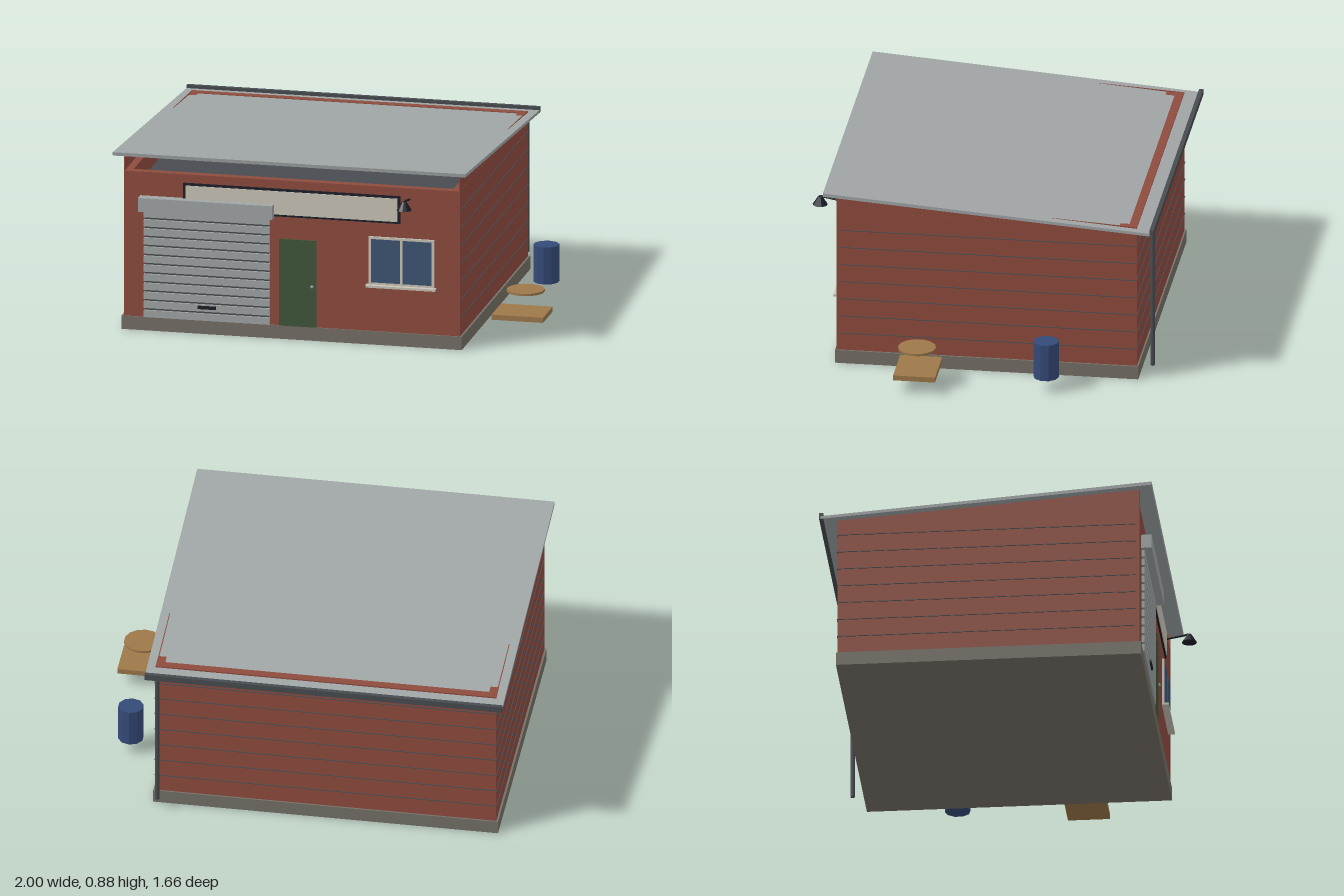
import * as THREE from 'three';

const paint = (name, color) => {
  const m = new THREE.MeshStandardMaterial({ color });
  m.name = name;
  return m;
};

export function createModel() {
  const red = paint('brick red', 0x8f4c3f);
  const grey = paint('sheet metal grey', 0xa0a5a5);
  const concrete = paint('concrete', 0x757067);
  const dark = paint('dark grey', 0x484c50);
  const green = paint('door green', 0x3f5638);
  const blue = paint('barrel blue', 0x354a78);
  const glass = paint('window glass', 0x3e5573);
  const cream = paint('cream', 0xcac5b8);
  const black = paint('black', 0x1a1e26);
  const wood = paint('wood', 0x9c784a);
  blue.flatShading = black.flatShading = true;

  const model = new THREE.Group();
  model.name = 'workshop';
  const add = (name, geometry, material, parent = model) => {
    const mesh = new THREE.Mesh(geometry, material);
    mesh.name = name;
    parent.add(mesh);
    return mesh;
  };
  const group = (name) => {
    const g = new THREE.Group();
    g.name = name;
    model.add(g);
    return g;
  };
  // Box given by its limits along each axis
  const box = (name, mat, [x0, x1], [y0, y1], [z0, z1], parent) => {
    const g = new THREE.BoxGeometry(x1 - x0, y1 - y0, z1 - z0);
    g.translate((x0 + x1) / 2, (y0 + y1) / 2, (z0 + z1) / 2);
    return add(name, g, mat, parent);
  };
  // Side profile of [z, y] points drawn out from x0 to x1
  const profile = (name, mat, points, x0, x1, parent) => {
    const shape = new THREE.Shape(points.map((p) => new THREE.Vector2(...p)));
    const g = new THREE.ExtrudeGeometry(shape, { depth: x1 - x0, bevelEnabled: false });
    g.rotateY(-Math.PI / 2).translate(x1, 0, 0);
    return add(name, g, mat, parent);
  };
  const cylinder = (name, mat, r0, r1, y0, y1, x, z, sides, parent) => {
    const g = new THREE.CylinderGeometry(r1, r0, y1 - y0, sides);
    g.translate(x, (y0 + y1) / 2, z);
    return add(name, g, mat, parent);
  };

  // Base slab and hollow walls
  box('baseSlab', concrete, [-0.97, 0.68], [0, 0.065], [-0.755, 0.692]);
  const walls = group('walls');
  const L = -0.96, R = 0.67, F = 0.685, B = -0.747, top = 0.776, t = 0.04;
  box('frontWall', red, [L, R], [0.065, top], [F - t, F], walls);
  box('backWall', red, [L, R], [0.065, top], [B, B + t], walls);
  box('leftWall', red, [R - t, R], [0.065, top], [B, F], walls);
  box('rightWall', red, [L, L + t], [0.065, top], [B, F], walls);
  for (const x of [L + 0.001, R - 0.005])
    profile('gable', red, [[B, top], [F, top], [F, 0.86]], x, x + 0.004, walls);

  // Thin course lines on the sides and back
  const courses = group('wallCourses');
  for (let y = 0.15; y < 0.76; y += 0.088)
    box('courseLine', dark, [L - 0.004, R + 0.004], [y, y + 0.003], [B - 0.004, F - 0.02], courses);

  // Sloping roof, gutter and downpipe
  profile('roof', grey, [[-0.825, 0.75], [0.743, 0.863], [0.745, 0.88], [-0.825, 0.764]], -1, 0.71);
  box('gutter', dark, [-1, 0.71], [0.75, 0.78], [-0.832, -0.812]);
  cylinder('downpipe', dark, 0.01, 0.01, 0.065, 0.76, 0.65, -0.82, 8);

  // Roller shutter
  const shutter = group('rollerShutter');
  box('shutterBacking', dark, [-0.855, -0.255], [0.065, 0.6], [F, F + 0.004], shutter);
  const pitch = 0.0445;
  for (let i = 0; i < 12; i++) {
    const y = 0.067 + i * pitch;
    box('slat', grey, [-0.86, -0.25], [y, y + 0.034], [F, F + 0.015], shutter);
  }
  box('shutterHousing', grey, [-0.88, -0.23], [0.592, 0.66], [F, 0.735], shutter);
  box('shutterHandle', black, [-0.597, -0.51], [0.125, 0.14], [F, 0.708], shutter);

  // Door
  box('door', green, [-0.205, -0.025], [0.065, 0.49], [F, 0.692]);
  const knob = add('doorKnob', new THREE.SphereGeometry(0.008, 8, 6), grey);
  knob.position.set(-0.045, 0.265, 0.696);

  // Window with two panes
  const win = group('window');
  box('windowFrame', cream, [0.228, 0.547], [0.293, 0.53], [F, 0.695], win);
  for (const x of [0.241, 0.394])
    box('pane', glass, [x, x + 0.141], [0.307, 0.519], [0.69, 0.698], win);
  box('windowSill', cream, [0.218, 0.555], [0.285, 0.296], [F, 0.717], win);

  // Blank sign board
  box('signFrame', black, [-0.67, 0.382], [0.6, 0.735], [F, 0.693]);
  box('signPanel', cream, [-0.658, 0.368], [0.61, 0.724], [0.69, 0.697]);

  // Lamp above the sign
  const lamp = group('wallLamp');
  const arm = new THREE.LineCurve3(
    new THREE.Vector3(0.425, 0.722, F), new THREE.Vector3(0.425, 0.743, 0.797));
  add('lampArm', new THREE.TubeGeometry(arm, 1, 0.005, 6), black, lamp);
  cylinder('lampShade', black, 0.036, 0.01, 0.7, 0.742, 0.425, 0.797, 10, lamp);

  // Barrel and wooden seat beside the building
  cylinder('barrel', blue, 0.061, 0.061, 0.065, 0.247, 0.853, -0.34, 10);
  box('pallet', wood, [0.75, 1], [0.065, 0.09], [0.17, 0.37]);
  cylinder('roundTop', wood, 0.09, 0.09, 0.187, 0.198, 0.893, 0.27, 14);

  return model;
}
